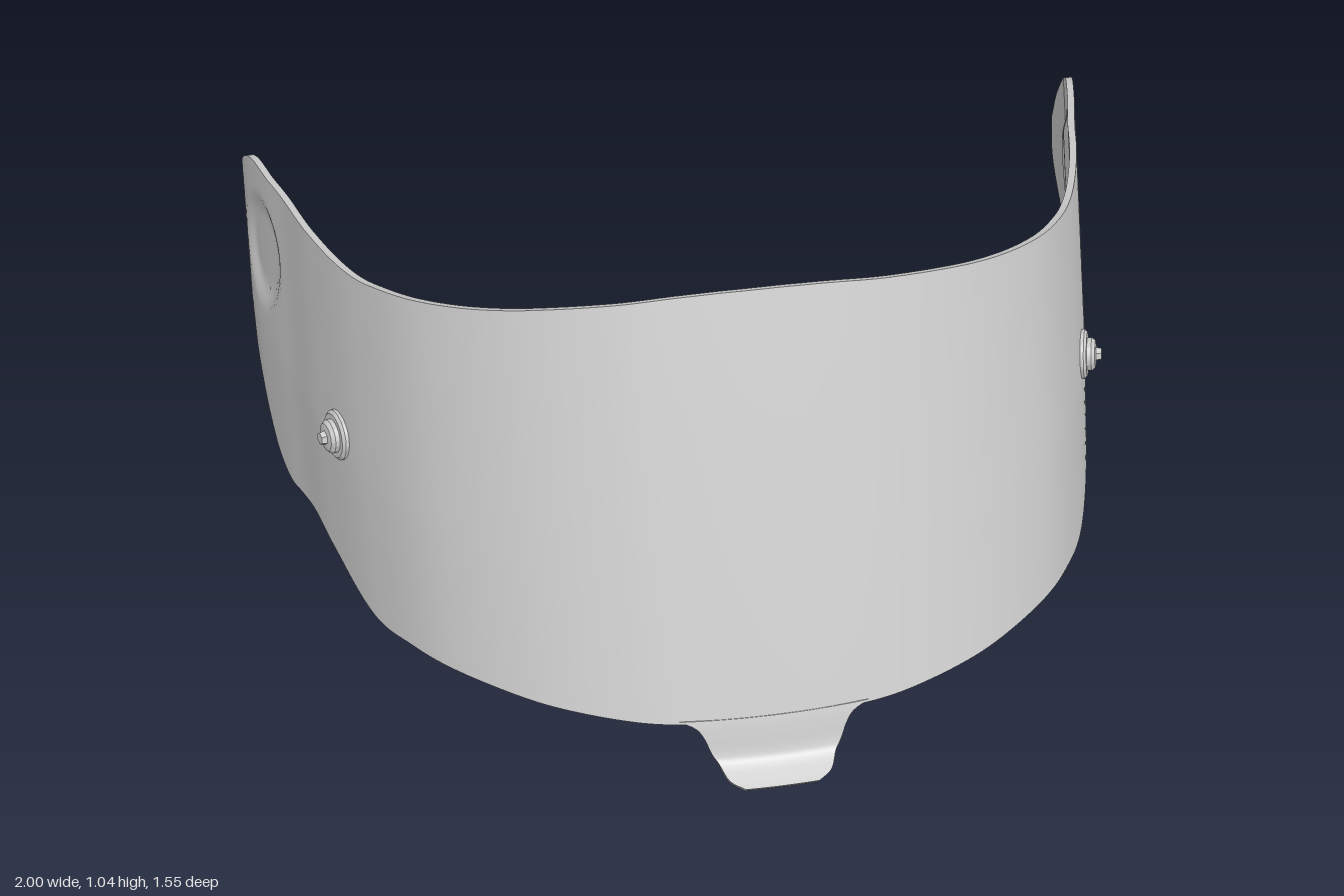
import * as THREE from 'three';
import { mergeGeometries, toCreasedNormals } from 'three/addons/utils/BufferGeometryUtils.js';

const V = (x, y, z) => new THREE.Vector3(x, y, z);
const SLOPE = 0.32, BASE_Y = 0.13, THICK = 0.016;

// Horizontal section at the lower edge (x, z), mirrored; higher sections slide backward.
const half = [[0, 0.692], [0.15, 0.685], [0.3, 0.66], [0.5, 0.575], [0.68, 0.42], [0.8, 0.22], [0.88, 0],
  [0.925, -0.18], [0.958, -0.3], [0.993, -0.46], [1, -0.54], [0.992, -0.62], [0.98, -0.68]];
const section = new THREE.CatmullRomCurve3([
  ...half.slice(1).reverse().map(([x, z]) => V(-x, 0, z)),
  ...half.map(([x, z]) => V(x, 0, z))]);
section.arcLengthDivisions = 2000;
const onSection = p => section.getPointAt(0.5 + 0.5 * p);

// Position p (0 centre, 1 rear) on the section where a rising measure reaches a target
function findP(measure, target) {
  let lo = 0, hi = 1;
  for (let i = 0; i < 30; i++) {
    const mid = (lo + hi) / 2;
    if (measure(onSection(mid)) < target) lo = mid; else hi = mid;
  }
  return lo;
}

// An edge of the shield: front points as (x, y), side points as (z, y)
function edge(front, side) {
  const pts = [
    ...front.map(([x, y]) => V(x === 0 ? 0 : findP(q => q.x, x), y, 0)),
    ...side.map(([z, y]) => V(findP(q => -q.z, -(z + SLOPE * (y - BASE_Y))), y, 0))];
  const curve = new THREE.CatmullRomCurve3(pts);
  curve.arcLengthDivisions = 1000;
  return curve;
}
const topEdge = edge(
  [[0, 1.04], [0.08, 1.039], [0.2, 1.031], [0.4, 1.003], [0.6, 0.957]],
  [[0.08, 0.911], [0, 0.89], [-0.1, 0.878], [-0.3, 0.862], [-0.5, 0.845], [-0.62, 0.832],
    [-0.7, 0.79], [-0.755, 0.72], [-0.775, 0.64]]);
const bottomEdge = edge(
  [[0, 0.132], [0.2, 0.133], [0.45, 0.148], [0.6, 0.155]],
  [[0.34, 0.146], [0.22, 0.13], [0, 0.17], [-0.12, 0.182], [-0.22, 0.166], [-0.3, 0.153], [-0.38, 0.172],
    [-0.45, 0.22], [-0.6, 0.36], [-0.7, 0.465], [-0.755, 0.55], [-0.775, 0.64]]);

function normalAt(p) {
  const t = section.getTangentAt(0.5 + 0.5 * p);
  return t.cross(V(0, 1, -SLOPE)).normalize();
}

// Point on the curved shield, set in by depth, with the round dent at each rear end
function surface(p, y, depth) {
  const q = onSection(p);
  q.y = y;
  q.z -= SLOPE * (y - BASE_Y);
  q.x *= 1 - 0.03 * Math.max(0, y - 0.45);
  const r = Math.hypot(q.z + 0.53, y - 0.64);
  const dent = 0.014 * (1 - THREE.MathUtils.smoothstep(r, 0.085, 0.14));
  return q.addScaledVector(normalAt(p), -depth - dent);
}

// Smooth grid facing along du x dv
function grid(f, nu, nv) {
  const pos = [], index = [];
  for (let j = 0; j <= nv; j++) {
    for (let i = 0; i <= nu; i++) {
      pos.push(...f(i / nu, j / nv).toArray());
      if (i < nu && j < nv) {
        const a = j * (nu + 1) + i, c = a + nu + 1;
        index.push(a, a + 1, c, a + 1, c + 1, c);
      }
    }
  }
  const g = new THREE.BufferGeometry();
  g.setAttribute('position', new THREE.Float32BufferAttribute(pos, 3));
  g.setIndex(index);
  g.computeVertexNormals();
  return g;
}

// Closed thick sheet between an outer and an inner face
function sheet(outer, inner, nu, nv) {
  const mix = (a, b, t) => a.clone().lerp(b, t);
  return mergeGeometries([
    grid(outer, nu, nv),
    grid((u, v) => inner(1 - u, v), nu, nv),
    grid((u, v) => mix(inner(u, 0), outer(u, 0), v), nu, 1),
    grid((u, v) => mix(outer(u, 1), inner(u, 1), v), nu, 1),
    grid((u, v) => mix(outer(1, v), inner(1, v), u), 1, nv),
    grid((u, v) => mix(inner(0, v), outer(0, v), u), 1, nv)]);
}

export function createModel() {
  const model = new THREE.Group();
  const material = new THREE.MeshStandardMaterial({ color: 0xcccccc });
  const add = (name, geometry, parent = model) => {
    const mesh = new THREE.Mesh(geometry, material);
    mesh.name = name;
    parent.add(mesh);
    return mesh;
  };

  // Wraparound shield
  const shieldFace = depth => (u, v) => {
    const s = u * 2 - 1, a = Math.min(Math.abs(s), 0.998);
    const q = bottomEdge.getPointAt(a).lerp(topEdge.getPointAt(a), v);
    return surface(Math.sign(s) * q.x, q.y, depth);
  };
  add('shield', sheet(shieldFace(0), shieldFace(THICK), 240, 40));

  // Lifting tab: rows of half width, height and depth, from the lip up to the shield
  const rows = new THREE.CatmullRomCurve3([
    V(0.08, 0.018, 0.78), V(0.11, 0.026, 0.76), V(0.128, 0.045, 0.722), V(0.14, 0.062, 0.712),
    V(0.155, 0.1, 0.702), V(0.17, 0.122, 0.696), V(0.205, 0.14, 0.69)]);
  const tabFace = (dy, dz) => (u, v) => {
    const r = rows.getPoint(v), x = (u * 2 - 1) * r.x;
    return V(x, r.y + dy * (1 - v), r.z + dz - 0.3 * x * x);
  };
  add('liftTab', sheet(tabFace(0, 0), tabFace(-0.018, -0.015), 16, 24));

  // Side fasteners: stepped washer and stud with a hexagonal tip
  const profile = [[0.057, -0.012], [0.057, 0.006], [0.05, 0.012], [0.038, 0.012], [0.038, 0.022],
    [0.031, 0.03], [0.02, 0.032], [0, 0.032]].map(([r, y]) => new THREE.Vector2(r, y));
  const studGeometry = toCreasedNormals(new THREE.LatheGeometry(profile, 40), 0.6);
  const tipGeometry = toCreasedNormals(new THREE.CylinderGeometry(0.014, 0.017, 0.014, 6), 0.5);
  const p = findP(q => -q.z, -(-0.01 + SLOPE * (0.48 - BASE_Y)));
  for (const [side, name] of [[1, 'leftFastener'], [-1, 'rightFastener']]) {
    const fastener = new THREE.Group();
    fastener.name = name;
    fastener.position.copy(surface(side * p, 0.48, 0));
    fastener.quaternion.setFromUnitVectors(V(0, 1, 0), normalAt(side * p));
    add('fastenerWasher', studGeometry, fastener);
    add('fastenerTip', tipGeometry, fastener).position.y = 0.037;
    model.add(fastener);
  }
  return model;
}
